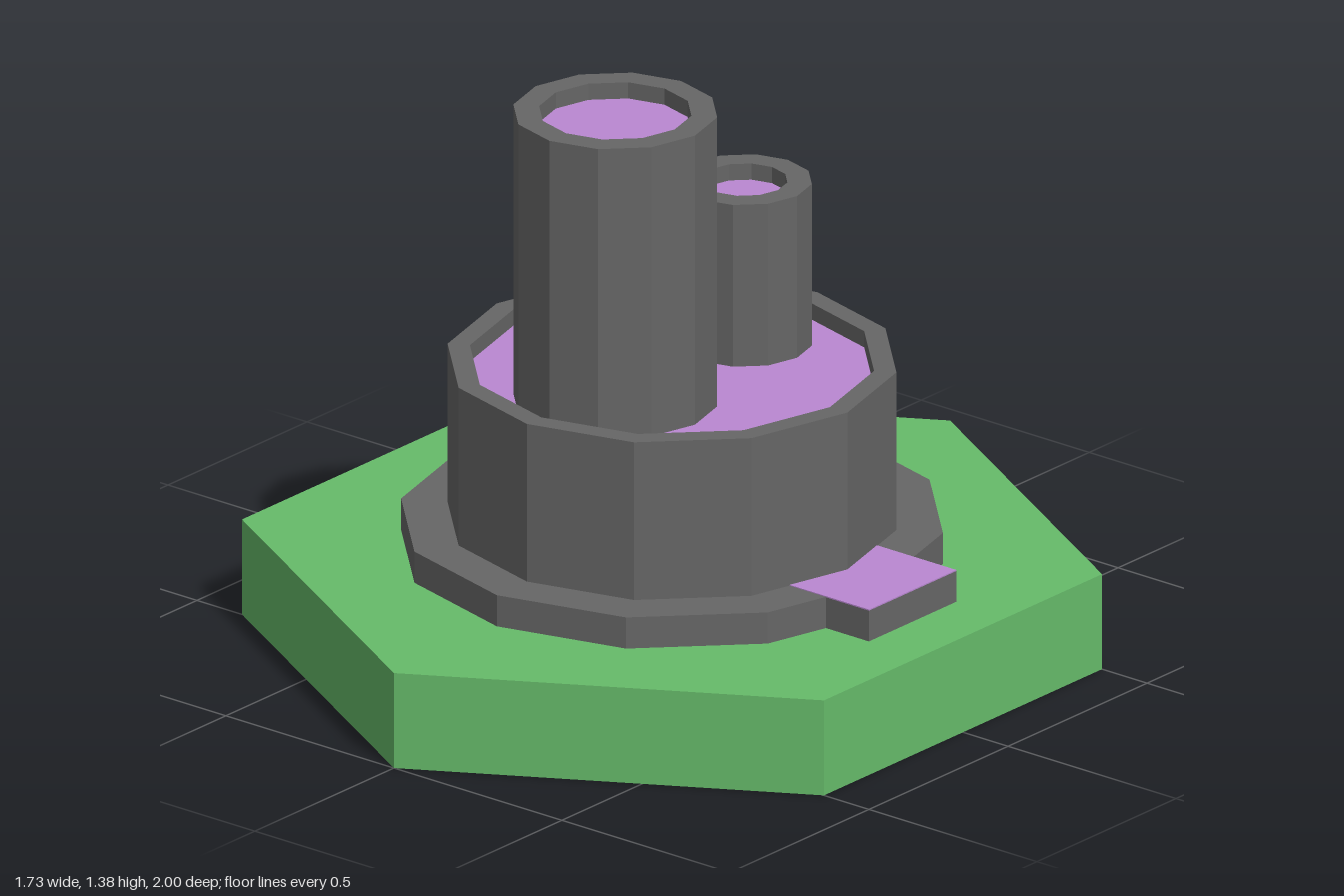
import * as THREE from 'three';

export function createModel() {
  const model = new THREE.Group();
  const mat = (name, color, flatShading = true) =>
    Object.assign(new THREE.MeshStandardMaterial({ color, flatShading }), { name });
  const green = mat('green', 0x66bb6a);
  const grey = mat('dark grey', 0x666666);
  const purple = mat('purple', 0xba88d2);

  const add = (name, geometry, material, x = 0, y = 0, z = 0) => {
    const mesh = new THREE.Mesh(geometry, material);
    mesh.name = name;
    mesh.position.set(x, y, z);
    model.add(mesh);
  };
  const turned = (profile, sides) =>
    new THREE.LatheGeometry(profile.map(([r, y]) => new THREE.Vector2(r, y)), sides);

  // Faceted cup with a raised rim and a coloured floor just below it
  const cup = (name, outer, inner, bottom, top, z) => {
    const floor = top - 0.04;
    add(name, turned([[outer, bottom], [outer, top], [inner, top], [inner, floor - 0.005]], 12), grey, 0, 0, z);
    add(name + 'Floor', new THREE.CircleGeometry(inner, 12).rotateX(-Math.PI / 2), purple, 0, floor, z);
  };

  // Hexagonal base, hollowed underneath
  add('base', turned([[0, 0.12], [0.837, 0.12], [0.837, 0], [1, 0], [1, 0.235], [0, 0.235]], 6), green);

  // Flange with a side tab
  add('flange', turned([[0.63, 0.23], [0.63, 0.312], [0, 0.312]], 12), grey);
  add('tab', new THREE.BoxGeometry(0.276, 0.08, 0.314), grey, 0.578, 0.271, 0);
  add('tabTop', new THREE.BoxGeometry(0.276, 0.003, 0.314), purple, 0.578, 0.3125, 0);

  // Main drum and its two pipes
  cup('drum', 0.522, 0.47, 0.31, 0.702, 0);
  cup('largePipe', 0.237, 0.177, 0.655, 1.377, 0.204);
  cup('smallPipe', 0.157, 0.1, 0.655, 1.062, -0.26);

  return model;
}
